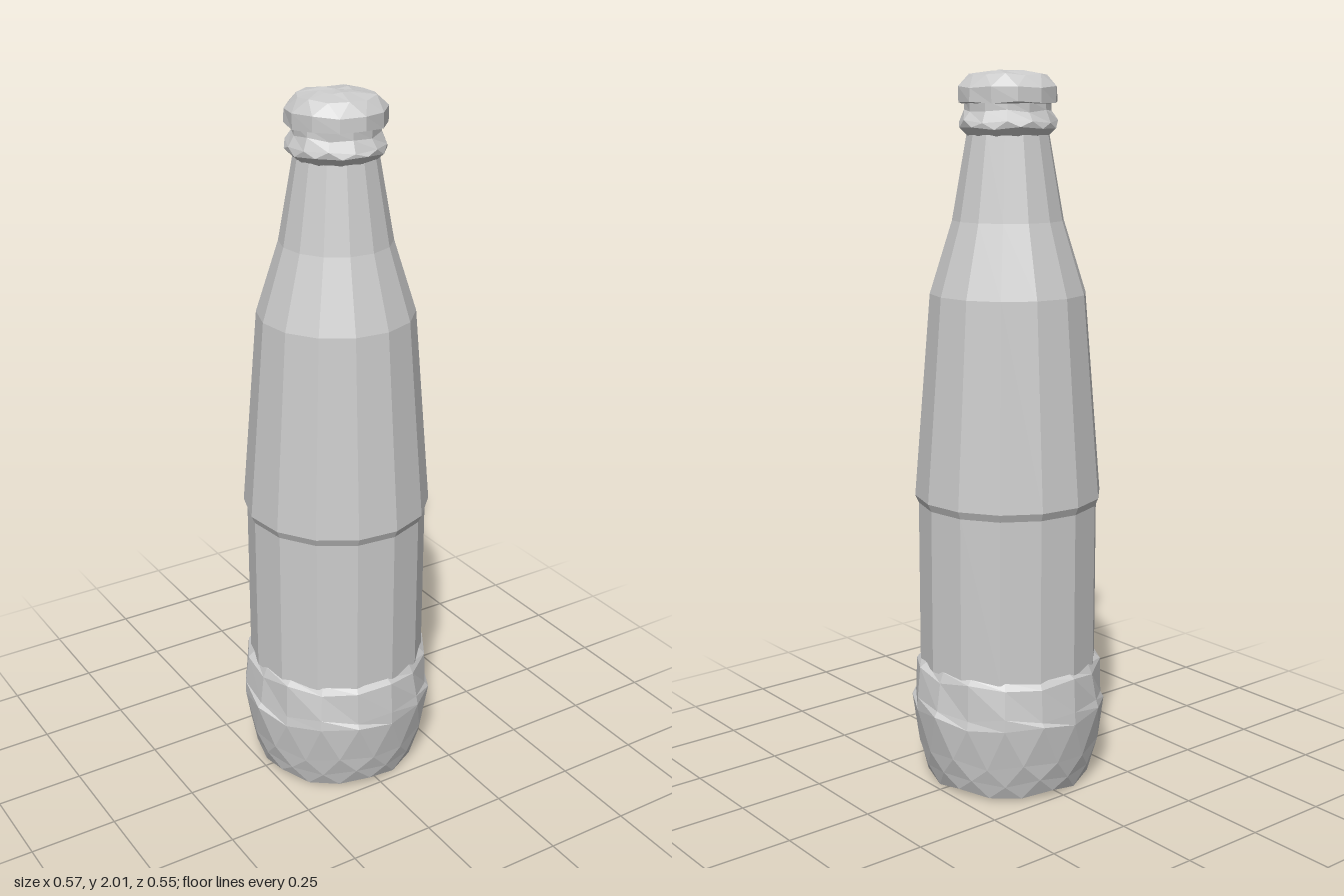
import * as THREE from 'three';

const material = new THREE.MeshStandardMaterial({ color: 0xcccccc, flatShading: true, side: THREE.DoubleSide });

// Turned, faceted section. Each row is [radius, height, turn in facets];
// half-facet turns make zigzag bands, wobble roughens the rows slightly.
function turned(name, rows, sides, startDeg, wobble = 0) {
  const start = THREE.MathUtils.degToRad(startDeg);
  const geo = new THREE.LatheGeometry(rows.map(([r, y]) => new THREE.Vector2(r, y)), sides, start);
  const pos = geo.attributes.position;
  for (let i = 0; i <= sides; i++) {
    rows.forEach(([r, y, turn = 0], j) => {
      const k = i % sides; // the seam column repeats the first one
      const a = start + ((k + turn) * Math.PI * 2) / sides;
      const inner = j > 0 && j < rows.length - 1 && r > 0;
      const w = inner ? wobble * Math.sin(k * 2.4 + j * 1.7) : 0;
      pos.setXYZ(i * rows.length + j, (r + w * 0.4) * Math.sin(a), y + w, (r + w * 0.4) * Math.cos(a));
    });
  }
  geo.computeVertexNormals();
  const mesh = new THREE.Mesh(geo, material);
  mesh.name = name;
  return mesh;
}

export function createModel() {
  const bottle = new THREE.Group();
  bottle.name = 'bottle';

  // Flat underside, faceted heel and bulging foot
  bottle.add(turned('base', [
    [0, 0], [0.235, 0], [0.25, 0.045, 0.5], [0.263, 0.1, 1], [0.28, 0.215, 1.5],
    [0.274, 0.24, 1.5], [0.266, 0.33, 1.5], [0.25, 0.35, 1.5],
  ], 16, -7, 0.01));

  // Straight lower body, overhanging step, tapering upper body and neck
  bottle.add(turned('body', [
    [0.255, 0.34], [0.255, 0.808], [0.265, 0.83], [0.218, 1.4], [0.155, 1.6], [0.114, 1.83],
  ], 14, 7.5));

  // Collar below the cap
  bottle.add(turned('neckRing', [
    [0.11, 1.825], [0.135, 1.848], [0.134, 1.865, 0.5], [0.118, 1.893, 0.5], [0.118, 1.92, 0.5],
  ], 12, 5, 0.004));

  // Domed cap
  bottle.add(turned('cap', [
    [0.112, 1.912], [0.136, 1.915], [0.136, 1.955], [0.105, 1.988, 0.5], [0.045, 1.998, 0.5], [0, 2, 0.5],
  ], 12, 2, 0.003));

  return bottle;
}
